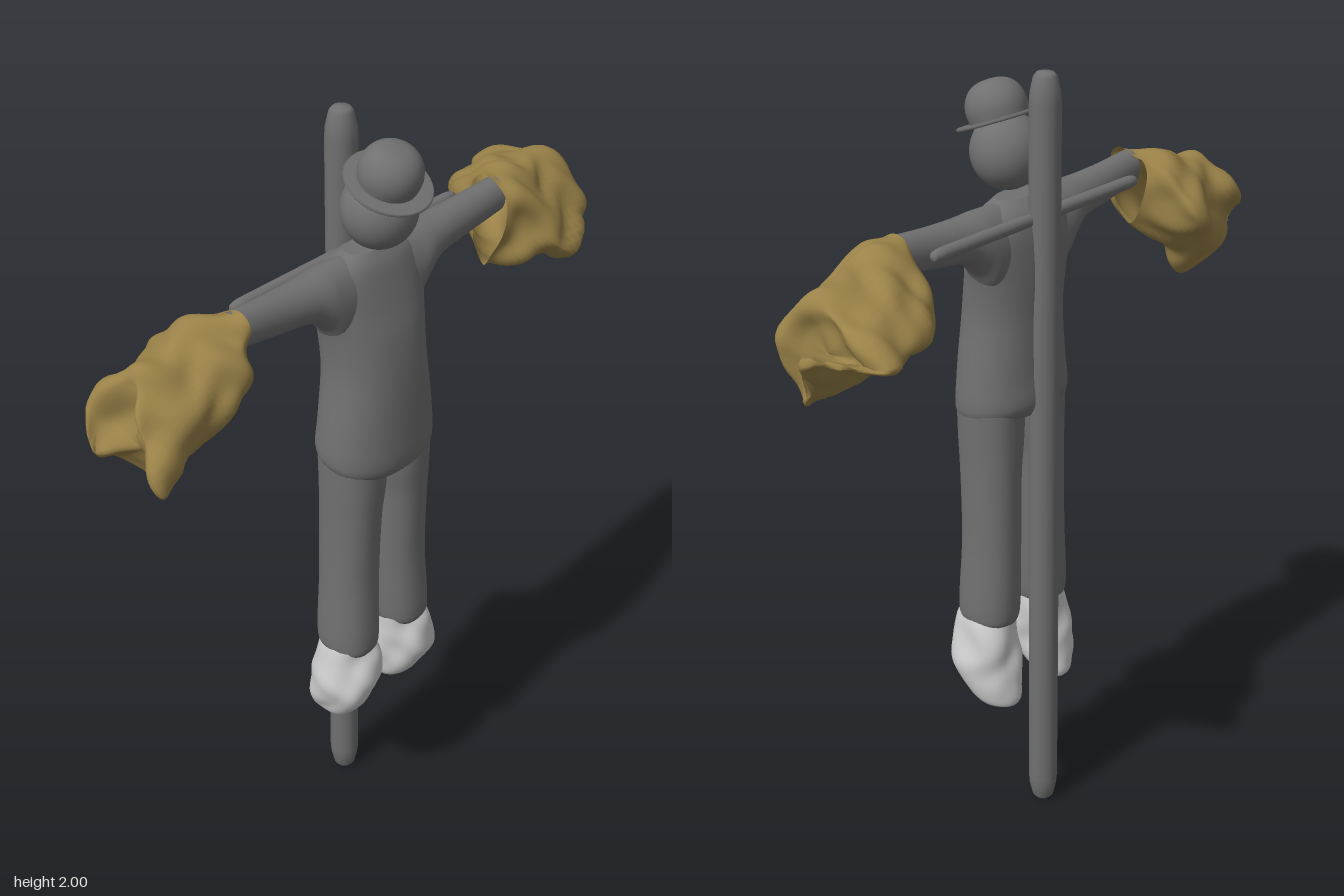
import * as THREE from 'three';

const MID = -0.018; // x of the pole and of the figure's middle line
const V = (x, y, z) => new THREE.Vector3(x, y, z);
const paint = (color, side = THREE.FrontSide) => new THREE.MeshStandardMaterial({ color, side, roughness: 0.9 });

function mesh(name, geometry, material) {
  const m = new THREE.Mesh(geometry, material);
  m.name = name;
  return m;
}

// Smooth skin through closed rings of points, with optional end caps.
function loft(rings, { around = 32, along = 28, caps = true, smoothRing = false } = {}) {
  const loops = rings.map((r) => {
    if (!smoothRing) return r;
    const c = new THREE.CatmullRomCurve3(r, true);
    return Array.from({ length: around }, (_, i) => c.getPoint(i / around));
  });
  const n = loops[0].length;
  const pos = [];
  const index = [];
  const columns = loops[0].map((_, i) => new THREE.CatmullRomCurve3(loops.map((l) => l[i])));
  for (let j = 0; j <= along; j++) {
    for (const c of columns) pos.push(...c.getPoint(j / along).toArray());
  }
  for (let j = 0; j < along; j++) {
    for (let i = 0; i < n; i++) {
      const a = j * n + i, b = j * n + ((i + 1) % n);
      index.push(a, a + n, b, b, a + n, b + n);
    }
  }
  if (caps) {
    for (const [loop, flip] of [[loops[0], false], [loops[loops.length - 1], true]]) {
      const start = pos.length / 3;
      const centre = loop.reduce((s, p) => s.add(p), V(0, 0, 0)).divideScalar(n);
      pos.push(...centre.toArray());
      loop.forEach((p) => pos.push(...p.toArray()));
      for (let i = 0; i < n; i++) {
        const a = start + 1 + i, b = start + 1 + ((i + 1) % n);
        index.push(start, flip ? b : a, flip ? a : b);
      }
    }
  }
  const g = new THREE.BufferGeometry();
  g.setAttribute('position', new THREE.Float32BufferAttribute(pos, 3));
  g.setIndex(index);
  g.computeVertexNormals();
  return g;
}

// Pushes the skin in and out in soft, uneven folds.
function crumple(g, amount) {
  const p = g.attributes.position;
  const nrm = g.attributes.normal;
  for (let i = 0; i < p.count; i++) {
    const x = p.getX(i), y = p.getY(i), z = p.getZ(i);
    const k = amount * (Math.sin(38 * x + 21 * z + 2 * Math.sin(27 * y)) + Math.sin(44 * z - 30 * y + 2 * Math.sin(33 * x)));
    p.setXYZ(i, x + k * nrm.getX(i), y + k * nrm.getY(i), z + k * nrm.getZ(i));
  }
  g.computeVertexNormals();
  return g;
}

// Horizontal oval ring; tilt lifts its back edge.
function flatRing(y, cx, cz, rx, rz, tilt = 0) {
  const soft = (t) => Math.sign(t) * Math.abs(t) ** 0.88;
  return Array.from({ length: 32 }, (_, i) => {
    const a = (i / 32) * Math.PI * 2;
    const dz = rz * soft(Math.sin(a));
    return V(cx + rx * soft(Math.cos(a)), y - tilt * dz, cz + dz);
  });
}

// Upright oval ring across an arm.
const armRing = (x, cy, cz, ry, rz) => Array.from({ length: 32 }, (_, i) => {
  const a = (i / 32) * Math.PI * 2;
  return V(x, cy + ry * Math.cos(a), cz + rz * Math.sin(a));
});

// Round stick with worn ends, standing on y = 0.
function stick(length, r) {
  const half = [[0, 0], [0.55, 0.003], [0.75, 0.012], [0.95, 0.045], [1, 0.07]];
  const end = half.map(([k, y]) => new THREE.Vector2(k * r, y * (r / 0.036)));
  const top = end.map((p) => new THREE.Vector2(p.x, length - p.y)).reverse();
  return new THREE.LatheGeometry([...end, ...top], 16);
}

// Sack from its wrist rings to the ragged rim, folded shut at the far end.
function sack(table, s) {
  const rings = table.map((ring) => ring.map((p) => V(...p)));
  const rim = rings[rings.length - 1];
  const centre = rim.reduce((sum, p) => sum.add(p), V(0, 0, 0)).divideScalar(rim.length);
  centre.x -= s * 0.03;
  for (const t of [0.5, 0.98]) rings.push(rim.map((p) => p.clone().lerp(centre, t)));
  if (s > 0) rings.reverse();
  return crumple(loft(rings, { caps: false, smoothRing: true, around: 56, along: 50 }), 0.006);
}

export function createModel() {
  const model = new THREE.Group();
  model.name = 'scarecrow';
  const dark = paint(0x707070);
  const pale = paint(0xcccccc);
  const sacking = paint(0x9a8248, THREE.DoubleSide);

  // Wooden cross
  const pole = mesh('pole', stick(2, 0.038), dark);
  pole.position.set(MID, 0, -0.025);
  const bar = mesh('crossbar', stick(0.72, 0.016), dark);
  bar.rotation.z = -Math.PI / 2;
  bar.position.set(-0.38, 1.65, -0.005);
  model.add(pole, bar);

  // Jacket body: y, z centre, half width, half depth, hem tilt
  const jacket = [
    [1.138, 0.08, 0.142, 0.095, 0.16], [1.165, 0.08, 0.156, 0.11, 0.16], [1.25, 0.082, 0.151, 0.109, 0.08],
    [1.4, 0.078, 0.133, 0.104, 0], [1.5, 0.068, 0.139, 0.098, 0], [1.56, 0.06, 0.15, 0.088, 0],
    [1.62, 0.054, 0.153, 0.076, 0], [1.665, 0.053, 0.13, 0.062, 0], [1.695, 0.06, 0.07, 0.035, 0],
  ];
  model.add(mesh('jacket', loft(jacket.map(([y, cz, rx, rz, tilt]) => flatRing(y, MID, cz, rx, rz, tilt))), dark));

  // Arms: distance from middle, y centre, z centre, half height, half depth
  const arm = [
    [0.05, 1.582, 0.056, 0.108, 0.062], [0.12, 1.588, 0.056, 0.102, 0.066], [0.155, 1.612, 0.057, 0.077, 0.063],
    [0.2, 1.63, 0.058, 0.057, 0.053], [0.3, 1.64, 0.06, 0.05, 0.042], [0.425, 1.654, 0.064, 0.045, 0.036],
  ];
  // Legs and wrapped feet: y, distance from middle, z centre, half width, half depth
  const leg = [
    [0.572, 0.087, 0.078, 0.06, 0.072], [0.59, 0.087, 0.078, 0.067, 0.079], [0.8, 0.08, 0.075, 0.066, 0.077],
    [1.0, 0.077, 0.078, 0.067, 0.08], [1.08, 0.073, 0.08, 0.073, 0.083], [1.17, 0.072, 0.08, 0.076, 0.085],
  ];
  const foot = [
    [0.342, 0.094, 0.04, 0.03, 0.035, -0.1], [0.358, 0.099, 0.047, 0.053, 0.062, -0.2], [0.4, 0.101, 0.064, 0.071, 0.082, -0.2],
    [0.46, 0.1, 0.079, 0.077, 0.091, -0.1], [0.52, 0.094, 0.083, 0.074, 0.088, 0], [0.59, 0.087, 0.08, 0.062, 0.072, 0],
  ];
  for (const [side, s] of [['left', 1], ['right', -1]]) {
    const armRings = arm.map(([d, ...rest]) => armRing(MID + s * d, ...rest));
    if (s > 0) armRings.reverse();
    const spread = s > 0 ? 1.08 : -1.02;
    const limb = (rows) => loft(rows.map(([y, d, ...rest]) => flatRing(y, MID + spread * d, ...rest)));
    model.add(mesh(side + 'Arm', loft(armRings), dark));
    model.add(mesh(side + 'Leg', limb(leg), dark));
    model.add(mesh(side + 'Foot', crumple(limb(foot), 0.004), pale));
  }

  // Sacks on the hands: rings from wrist to torn rim, each from top round by the front
  const leftSack = [
    [[.39, 1.705, .06], [.39, 1.69, .1], [.395, 1.63, .118], [.39, 1.54, .1],
      [.385, 1.46, .06], [.39, 1.54, .02], [.395, 1.63, 0], [.39, 1.69, .02]],
    [[.47, 1.695, .05], [.47, 1.65, .13], [.46, 1.57, .155], [.45, 1.49, .14],
      [.46, 1.44, .05], [.45, 1.5, -.06], [.45, 1.57, -.115], [.46, 1.65, -.06]],
    [[.57, 1.675, .03], [.56, 1.63, .1], [.52, 1.51, .205], [.55, 1.45, .12],
      [.57, 1.415, .03], [.57, 1.48, -.09], [.57, 1.55, -.175], [.57, 1.63, -.1]],
    [[.68, 1.64, .02], [.7, 1.57, .09], [.7, 1.49, .11], [.68, 1.4, .06],
      [.73, 1.45, 0], [.775, 1.55, -.05], [.69, 1.55, -.215], [.7, 1.6, -.12]],
  ];
  const rightSack = [
    [[-.43, 1.705, .06], [-.43, 1.69, .1], [-.435, 1.63, .118], [-.44, 1.56, .1],
      [-.445, 1.5, .06], [-.44, 1.56, .02], [-.435, 1.63, 0], [-.43, 1.69, .02]],
    [[-.51, 1.685, .03], [-.49, 1.64, .12], [-.49, 1.57, .15], [-.49, 1.5, .11],
      [-.51, 1.46, .03], [-.48, 1.5, -.07], [-.48, 1.55, -.13], [-.49, 1.64, -.07]],
    [[-.61, 1.655, .02], [-.61, 1.6, .1], [-.6, 1.52, .145], [-.58, 1.44, .1],
      [-.57, 1.4, .02], [-.57, 1.44, -.07], [-.57, 1.52, -.1], [-.6, 1.61, -.06]],
    [[-.69, 1.625, .02], [-.735, 1.53, .1], [-.735, 1.42, .16], [-.69, 1.41, .1],
      [-.62, 1.33, .03], [-.69, 1.4, -.05], [-.775, 1.46, -.02], [-.73, 1.54, -.07]],
  ];
  model.add(mesh('leftSack', sack(leftSack, 1), sacking));
  model.add(mesh('rightSack', sack(rightSack, -1), sacking));

  // Head
  const head = mesh('head', new THREE.SphereGeometry(0.09, 32, 24), dark);
  head.scale.set(1, 1.03, 0.98);
  head.position.set(-0.016, 1.792, 0.09);
  model.add(head);

  // Round hat, tipped forward
  const hat = new THREE.Group();
  hat.name = 'hat';
  const crown = [[0.07, 0], [0.074, 0.03], [0.068, 0.058], [0.052, 0.08], [0.028, 0.092], [0, 0.095]];
  const curve = new THREE.SplineCurve(crown.map((p) => new THREE.Vector2(...p)));
  const brim = [[0.06, -0.003], [0.1, -0.004], [0.104, 0.001], [0.1, 0.005], [0.06, 0.004]];
  const hatCrown = mesh('hatCrown', new THREE.LatheGeometry(curve.getPoints(20), 32), dark);
  hatCrown.position.z = -0.004;
  hat.add(hatCrown);
  hat.add(mesh('hatBrim', new THREE.LatheGeometry(brim.map((p) => new THREE.Vector2(...p)), 32), dark));
  hat.position.set(-0.014, 1.862, 0.114);
  hat.rotation.x = 0.37;
  model.add(hat);

  return model;
}
